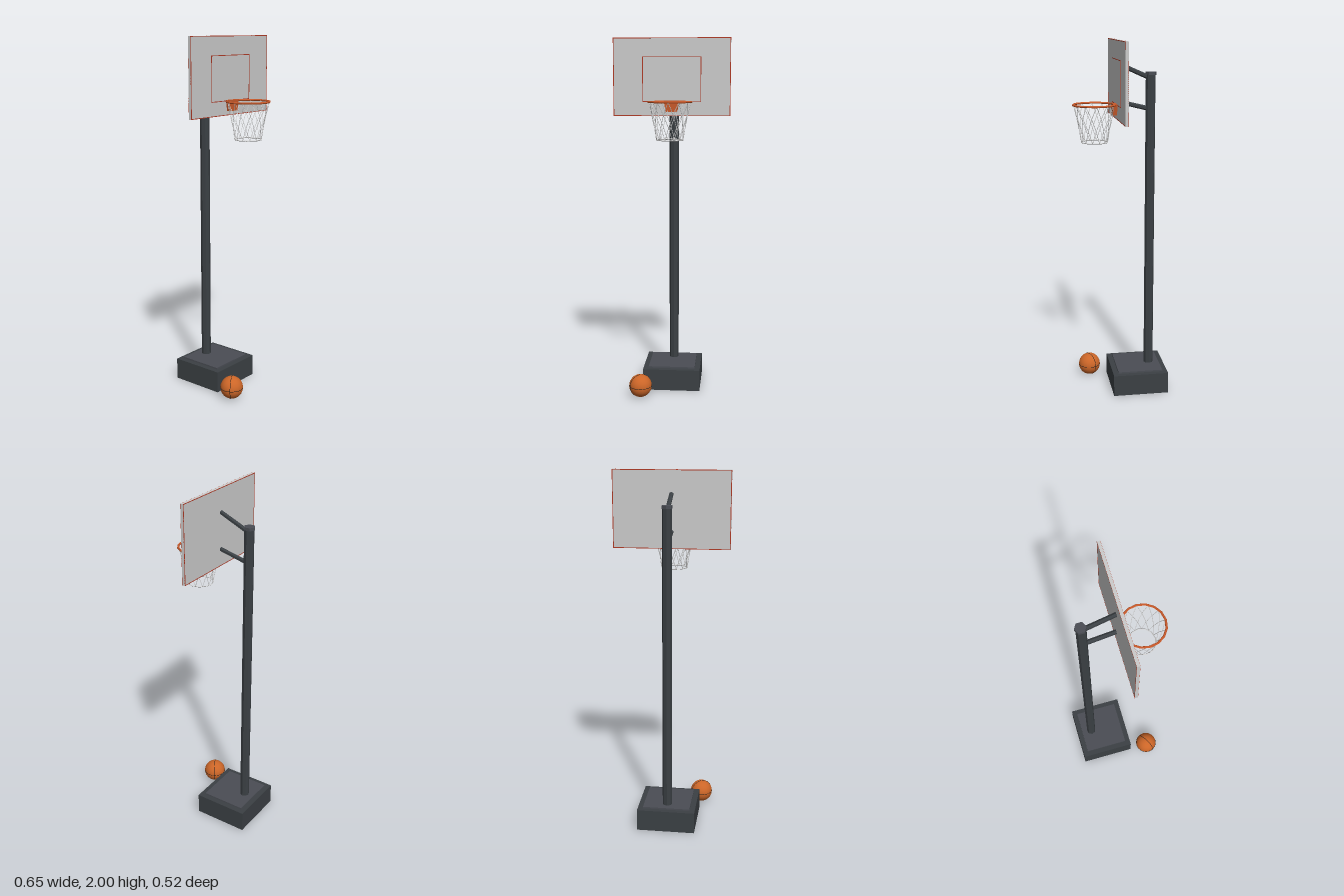
import * as THREE from 'three';

const mat = (color) => new THREE.MeshStandardMaterial({ color, flatShading: true });
const dark = mat(0x3b4044), plateGrey = mat(0x4a4d54), grey = mat(0xcccccc);
const red = mat(0xb03a26), orange = mat(0xc8592a), seamBlack = mat(0x1c1a18);
const ballOrange = new THREE.MeshStandardMaterial({ color: 0xcc6628 });

export function createModel() {
  const model = new THREE.Group();

  const add = (name, geometry, material, x = 0, y = 0, z = 0, parent = model) => {
    const mesh = new THREE.Mesh(geometry, material);
    mesh.name = name;
    mesh.position.set(x, y, z);
    parent.add(mesh);
    return mesh;
  };
  const group = (name, x = 0, y = 0, z = 0) => {
    const g = new THREE.Group();
    g.name = name;
    g.position.set(x, y, z);
    model.add(g);
    return g;
  };
  const box = (w, h, d) => new THREE.BoxGeometry(w, h, d);

  // Weighted base with its raised top plate
  add('base', box(0.326, 0.122, 0.315), dark, 0, 0.064, -0.103);
  add('basePlate', box(0.266, 0.01, 0.256), plateGrey, 0, 0.129, -0.104);

  // Pole and cap
  add('pole', new THREE.CylinderGeometry(0.027, 0.027, 1.69, 8), dark, 0, 0.97, -0.172);
  add('poleCap', new THREE.CylinderGeometry(0.031, 0.031, 0.016, 6), plateGrey, 0, 1.821, -0.174);

  // Two sloping arms between the pole and the board
  const arm = (name, y0, y1) => {
    const a = new THREE.Vector3(0, y0, -0.165), b = new THREE.Vector3(0, y1, 0.002);
    const mesh = add(name, new THREE.CylinderGeometry(0.012, 0.013, a.distanceTo(b), 6), dark);
    mesh.position.copy(a).lerp(b, 0.5);
    mesh.quaternion.setFromUnitVectors(new THREE.Vector3(0, 1, 0), b.sub(a).normalize());
  };
  arm('upperArm', 1.798, 1.872);
  arm('lowerArm', 1.63, 1.67);

  // Backboard, edge trim on both faces and target rectangle on the front
  add('backboard', box(0.646, 0.424, 0.016), grey, 0, 1.788, 0.009);
  const outline = (name, w, h, t, y, z) => {
    const g = group(name, 0, y, z);
    for (const s of [-1, 1]) {
      add('sideLine', box(t, h, 0.0015), red, s * (w - t) / 2, 0, 0, g);
      add('crossLine', box(w, t, 0.0015), red, 0, s * (h - t) / 2, 0, g);
    }
  };
  outline('frontTrim', 0.646, 0.424, 0.004, 1.788, 0.017);
  outline('backTrim', 0.646, 0.424, 0.004, 1.788, 0.001);
  outline('target', 0.324, 0.246, 0.004, 1.776, 0.017);

  // Rim bracket, narrower at the bottom
  const bracket = box(0.084, 0.06, 0.022);
  const p = bracket.attributes.position;
  for (let i = 0; i < p.count; i++) if (p.getY(i) < 0) p.setX(i, p.getX(i) * 0.75);
  add('rimBracket', bracket, orange, 0, 1.63, 0.028);

  // Rim
  const hoop = group('hoop', 0, 1.655, 0.138);
  add('rim', new THREE.TorusGeometry(0.116, 0.006, 6, 16), orange, 0, 0, 0, hoop).rotation.x = Math.PI / 2;

  // Net: crossing strands that spiral down to a smaller ring
  const levels = [[0.113, 0], [0.098, -0.068], [0.083, -0.136], [0.073, -0.203]];
  const count = 12;
  for (const dir of [-1, 1]) {
    for (let i = 0; i < count; i++) {
      const points = levels.map(([r, y], k) => {
        const a = ((i + dir * k / 2) / count) * Math.PI * 2;
        return new THREE.Vector3(Math.sin(a) * r, y, Math.cos(a) * r);
      });
      const path = new THREE.CatmullRomCurve3(points);
      add('netStrand', new THREE.TubeGeometry(path, 6, 0.0016, 4), grey, 0, 0, 0, hoop);
    }
  }
  add('netRing', new THREE.TorusGeometry(0.073, 0.003, 4, 12), grey, 0, -0.203, 0, hoop).rotation.x = Math.PI / 2;

  // Ball with seams
  const ball = group('ball', -0.165, 0.068, 0.16);
  add('ballSkin', new THREE.SphereGeometry(0.064, 20, 14), ballOrange, 0, 0, 0, ball);
  const seam = new THREE.TorusGeometry(0.0638, 0.0014, 5, 28);
  add('equatorSeam', seam, seamBlack, 0, 0, 0, ball).rotation.x = Math.PI / 2;
  add('meridianSeam', seam, seamBlack, 0, 0, 0, ball).rotation.y = 0.53;

  return model;
}
